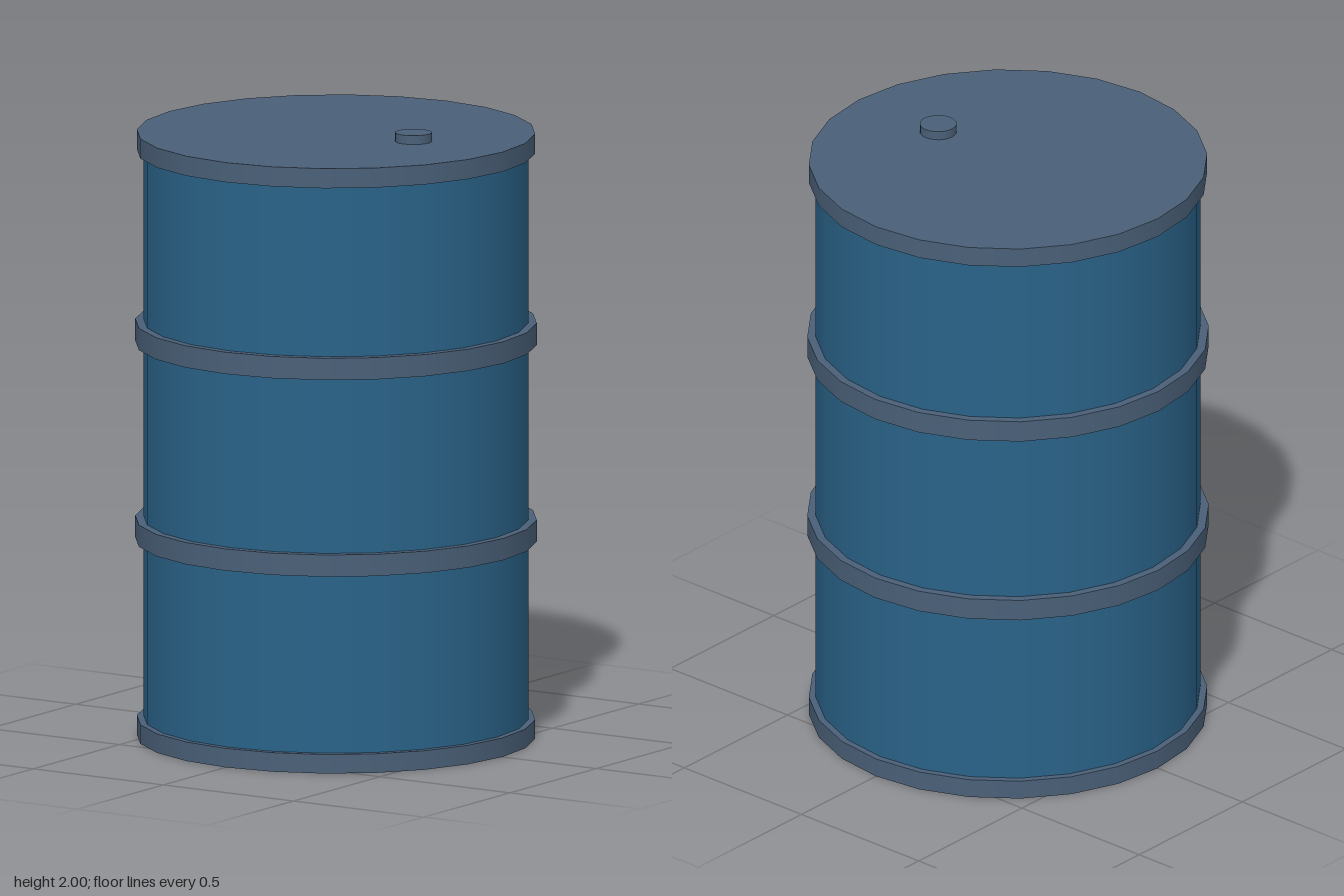
import * as THREE from 'three';

const SIDES = 24;

export function createModel() {
  const barrel = new THREE.Group();
  barrel.name = 'barrel';
  const blue = new THREE.MeshStandardMaterial({ color: 0x2a6389 });
  const steel = new THREE.MeshStandardMaterial({ color: 0x4a6078 });

  // Upright cylinder between two heights
  function drum(name, radius, bottom, top, material, x = 0) {
    const mesh = new THREE.Mesh(
      new THREE.CylinderGeometry(radius, radius, top - bottom, SIDES), material);
    mesh.name = name;
    mesh.position.set(x, (bottom + top) / 2, 0);
    barrel.add(mesh);
  }

  drum('body', 0.617, 0.03, 1.94, blue);

  // End rims, closed as lid and base
  drum('baseRim', 0.639, 0, 0.062, steel);
  drum('lidRim', 0.639, 1.907, 1.971, steel);

  // Reinforcing hoops
  drum('lowerHoop', 0.644, 0.642, 0.713, steel);
  drum('upperHoop', 0.644, 1.283, 1.354, steel);

  // Filler cap on the lid
  drum('fillerCap', 0.059, 1.95, 2, steel, 0.298);

  return barrel;
}
